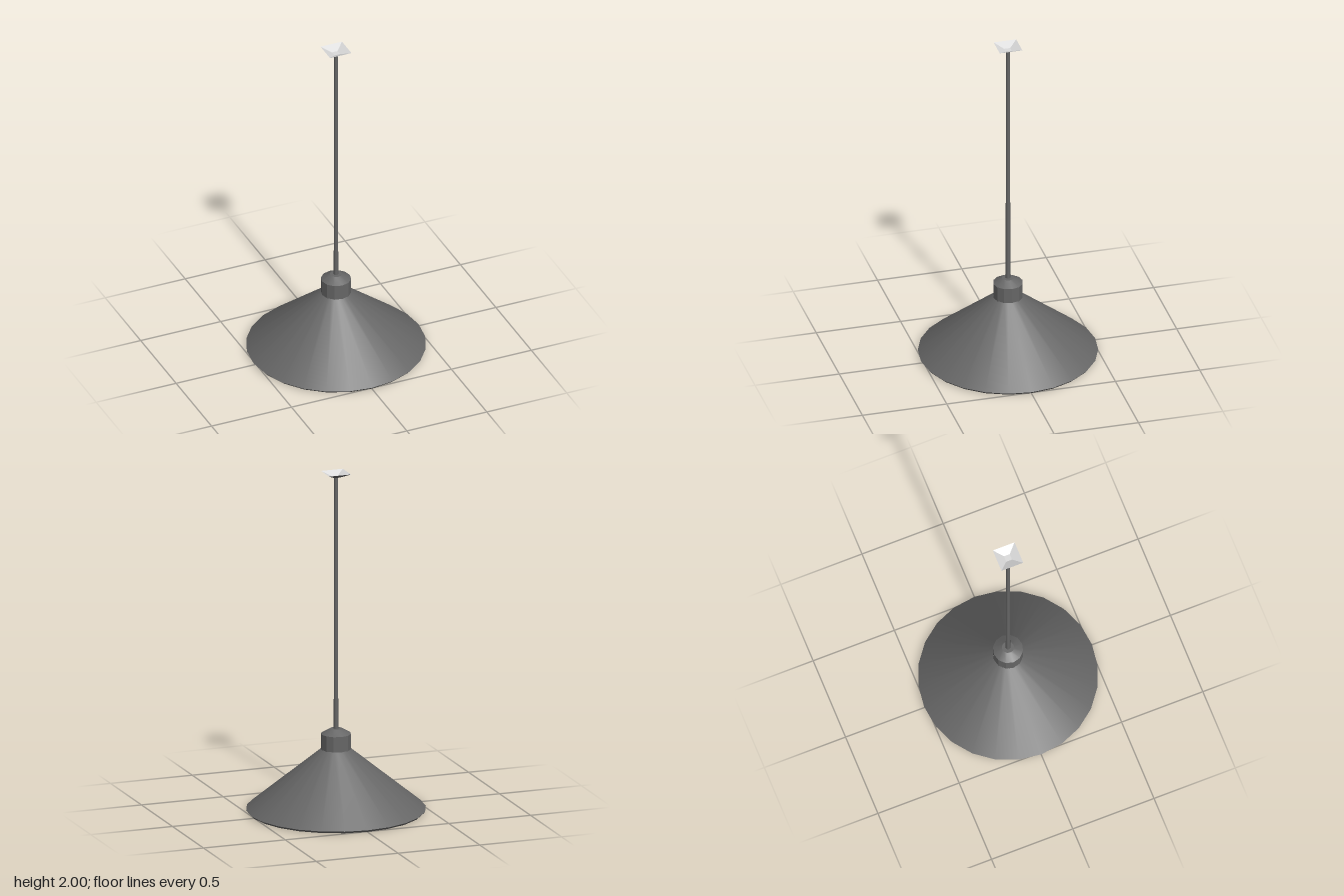
import * as THREE from 'three';
import { toCreasedNormals } from 'three/addons/utils/BufferGeometryUtils.js';

export function createModel() {
  const lamp = new THREE.Group();
  lamp.name = 'pendantLamp';
  const darkMetal = new THREE.MeshStandardMaterial({ color: 0x666666 });
  darkMetal.name = 'darkGreyMetal';
  const lightInside = new THREE.MeshStandardMaterial({ color: 0xdcdcdc });
  lightInside.name = 'paleGrey';

  // Revolved part: a profile going up faces outward, going down faces inward
  function lathe(name, material, profile, sides, start = 0, crease = 0.5) {
    const points = profile.map(([r, y]) => new THREE.Vector2(r, y));
    const geometry = new THREE.LatheGeometry(points, sides, start);
    const mesh = new THREE.Mesh(toCreasedNormals(geometry, crease), material);
    mesh.name = name;
    lamp.add(mesh);
  }

  // Conical shade with a small turned-in lip, and its pale lining
  lathe('shade', darkMetal, [[0.505, 0], [0.516, 0.012], [0.085, 0.365]], 24);
  lathe('shadeLining', lightInside,
    [[0, 0.357], [0.08, 0.357], [0.498, 0.012], [0.496, 0], [0.505, 0]], 24);

  // Collar above the shade, with a bevelled top
  lathe('collar', darkMetal,
    [[0.087, 0.362], [0.087, 0.455], [0.035, 0.485], [0, 0.485]], 12);

  // Bulb hanging inside the shade
  lathe('bulb', lightInside,
    [[0, 0.075], [0.045, 0.085], [0.083, 0.125], [0.106, 0.185], [0.112, 0.24],
      [0.102, 0.29], [0.06, 0.33], [0.05, 0.362]], 20, 0, 1.2);

  // Hanging rod
  const rod = new THREE.Mesh(
    new THREE.CylinderGeometry(0.012, 0.014, 1.495, 8, 1, true), darkMetal);
  rod.name = 'rod';
  rod.position.y = 1.2275;
  lamp.add(rod);

  // Square ceiling canopy, open at the top
  const d = Math.SQRT2;
  lathe('canopy', darkMetal,
    [[0, 1.974], [0.018 * d, 1.974], [0.067 * d, 2]], 4, Math.PI / 4, 0.2);
  lathe('canopyInside', lightInside,
    [[0.067 * d, 2], [0.018 * d, 1.977], [0, 1.977]], 4, Math.PI / 4, 0.2);

  return lamp;
}
